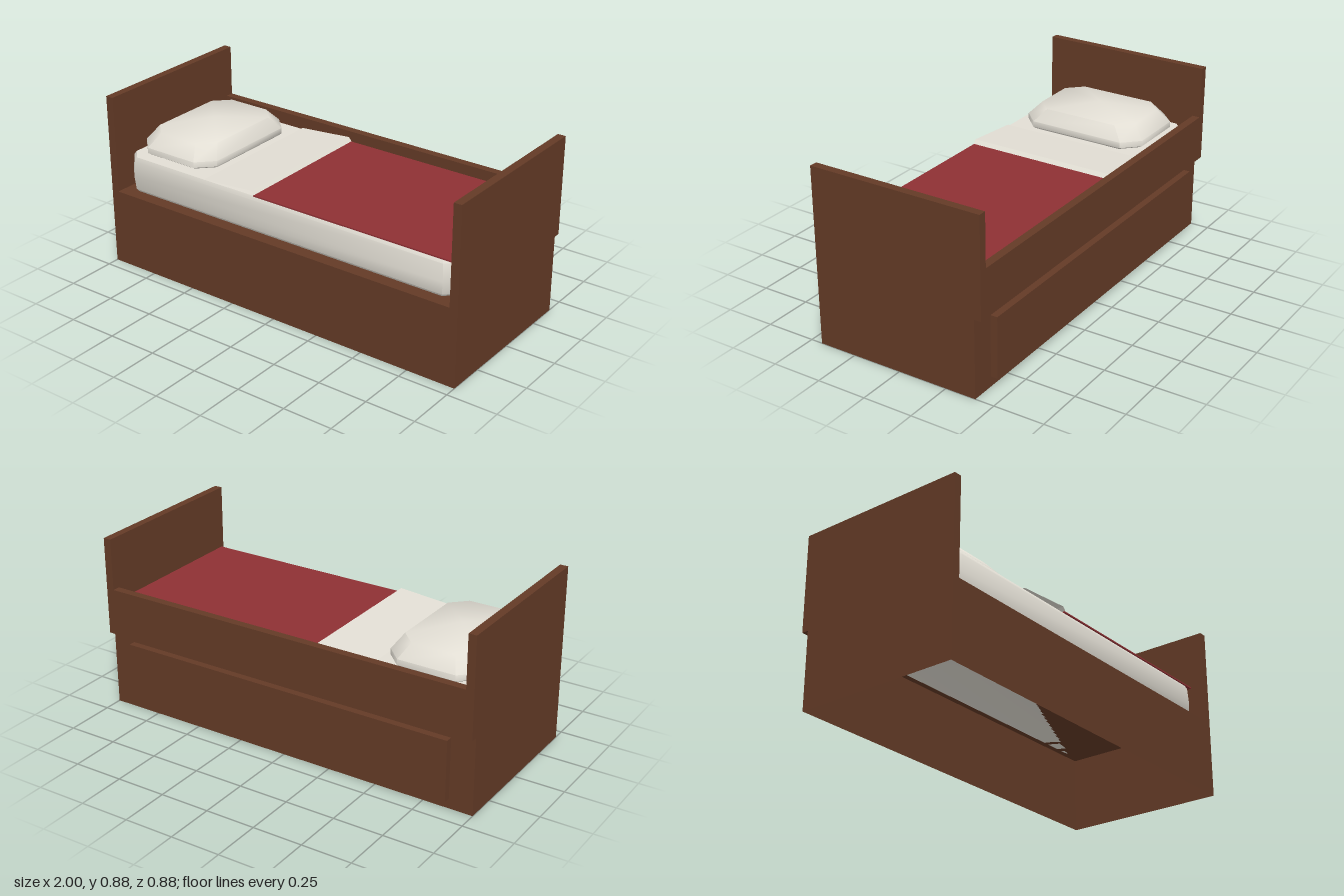
import * as THREE from 'three';
import { toCreasedNormals } from 'three/addons/utils/BufferGeometryUtils.js';

const paint = (name, color, extra = {}) => new THREE.MeshStandardMaterial({ name, color, ...extra });

// Closed loft of chamfered rectangles: each ring is [y, halfX, halfZ, chamfer]
function loft(rings, topY, crease) {
  const pos = [], index = [], n = 8;
  for (const [y, a, b, c] of rings) {
    const plan = [[a, -b + c], [a, b - c], [a - c, b], [-a + c, b],
      [-a, b - c], [-a, -b + c], [-a + c, -b], [a - c, -b]];
    for (const [x, z] of plan) pos.push(x, y, z);
  }
  for (let r = 0; r < rings.length - 1; r++) {
    for (let i = 0; i < n; i++) {
      const a = r * n + i, b = r * n + (i + 1) % n;
      index.push(a, a + n, b, b, a + n, b + n);
    }
  }
  const bottom = pos.length / 3, top = bottom + 1, last = (rings.length - 1) * n;
  pos.push(0, rings[0][0], 0, 0, topY, 0);
  for (let i = 0; i < n; i++) {
    const j = (i + 1) % n;
    index.push(bottom, i, j, top, last + j, last + i);
  }
  const g = new THREE.BufferGeometry();
  g.setAttribute('position', new THREE.Float32BufferAttribute(pos, 3));
  g.setIndex(index);
  return toCreasedNormals(g, crease);
}

export function createModel() {
  const bed = new THREE.Group();
  bed.name = 'bed';
  const wood = paint('dark wood', 0x633a26);
  const woodOpen = paint('dark wood', 0x633a26, { side: THREE.DoubleSide });
  const linen = paint('cream linen', 0xe2ded4);
  const linenOpen = paint('cream linen', 0xe2ded4, { side: THREE.DoubleSide });
  const red = paint('red blanket', 0x8e3034);

  const add = (name, geometry, material, x = 0, y = 0, z = 0) => {
    const mesh = new THREE.Mesh(geometry, material);
    mesh.name = name;
    mesh.position.set(x, y, z);
    bed.add(mesh);
    return mesh;
  };
  // Box given by its limits
  const box = (name, material, [x0, x1], [y0, y1], [z0, z1]) =>
    add(name, new THREE.BoxGeometry(x1 - x0, y1 - y0, z1 - z0), material,
      (x0 + x1) / 2, (y0 + y1) / 2, (z0 + z1) / 2);

  // Hollow base, open underneath
  const base = box('base', woodOpen, [-1, 1], [0, 0.39], [-0.405, 0.44]);
  const faces = Array.from(base.geometry.index.array);
  faces.splice(18, 6); // drop the bottom face
  base.geometry.setIndex(faces);
  base.geometry.clearGroups();

  // Headboard, footboard, back rail and drawer front
  box('headboard', wood, [-1, -0.96], [0.39, 0.885], [-0.44, 0.44]);
  box('footboard', wood, [0.96, 1], [0.39, 0.885], [-0.44, 0.44]);
  box('backRail', wood, [-0.96, 0.96], [0.39, 0.625], [-0.44, -0.4]);
  box('drawerFront', wood, [-0.88, 0.88], [0.05, 0.355], [-0.44, -0.405]);

  // Softly rounded mattress
  add('mattress', loft([
    [0.39, 0.935, 0.375, 0.055],
    [0.405, 0.947, 0.387, 0.06],
    [0.47, 0.952, 0.392, 0.06],
    [0.555, 0.947, 0.387, 0.06],
    [0.573, 0.935, 0.378, 0.055],
  ], 0.573, 0.85), linen);

  // Pillow with a domed top
  add('pillow', loft([
    [0.576, 0.215, 0.315, 0.075],
    [0.586, 0.226, 0.33, 0.08],
    [0.615, 0.226, 0.33, 0.08],
    [0.68, 0.185, 0.27, 0.075],
  ], 0.705, 0.85), linen, -0.705);

  // Blanket lying flat on the mattress
  box('blanket', red, [-0.15, 0.93], [0.573, 0.58], [-0.385, 0.385]);

  // Turned-down sheet, rising to its folded edge
  const sheet = new THREE.PlaneGeometry(1, 0.77, 2, 1).rotateX(-Math.PI / 2);
  const fold = [[-0.45, 0.576], [-0.16, 0.6], [-0.145, 0.581]];
  const p = sheet.attributes.position;
  for (let i = 0; i < p.count; i++) {
    const [x, y] = fold[Math.round((p.getX(i) + 0.5) * 2)];
    p.setXYZ(i, x, y, p.getZ(i));
  }
  add('foldedSheet', toCreasedNormals(sheet, 0.3), linenOpen);

  return bed;
}
